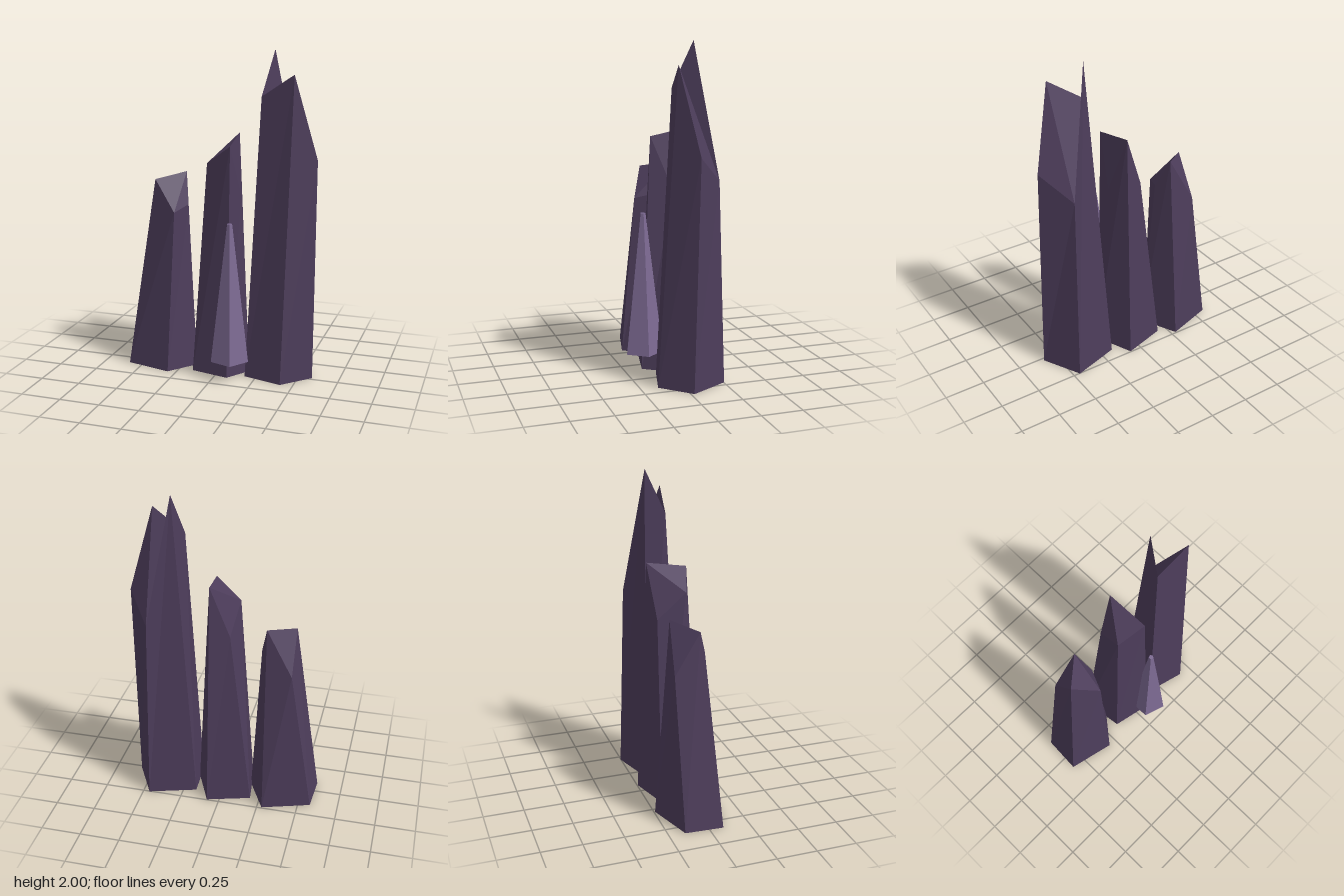
import * as THREE from 'three';

const darkCrystal = new THREE.MeshStandardMaterial({ color: 0x4d3d5b });
darkCrystal.name = 'dark purple crystal';
const paleCrystal = new THREE.MeshStandardMaterial({ color: 0x7d6a93 });
paleCrystal.name = 'pale purple crystal';

// Five-sided shard: base ring [x, z] on the ground, tip ring [x, y, z] with a jagged cap
function shardGeometry(base, tip) {
  const n = base.length;
  const b = base.map(([x, z]) => [x, 0, z]);
  const pos = [];
  const tri = (...corners) => corners.forEach((c) => pos.push(...c));
  for (let i = 0; i < n; i++) {
    const j = (i + 1) % n;
    tri(b[i], tip[i], b[j]);
    tri(tip[i], tip[j], b[j]);
  }
  // Cap fans out from the second corner, floor from the first
  for (let k = 2; k < n; k++) {
    tri(tip[1], tip[(k + 1) % n], tip[k]);
    if (k < n) tri(b[0], b[k - 1], b[k]);
  }
  const geo = new THREE.BufferGeometry();
  geo.setAttribute('position', new THREE.Float32BufferAttribute(pos, 3));
  geo.computeVertexNormals();
  return geo;
}

// Rings run back left, back right, right, front right, front left
const shards = {
  shortShard: {
    base: [[-0.576, -0.149], [-0.281, -0.243], [-0.165, -0.014], [-0.303, 0.155], [-0.589, 0.086]],
    tip: [[-0.432, 0.94, -0.165], [-0.272, 1.23, -0.143], [-0.228, 1.04, -0.05], [-0.278, 1.008, 0.074], [-0.432, 1.194, -0.011]],
  },
  middleShard: {
    base: [[-0.19, -0.168], [0.077, -0.246], [0.184, -0.008], [0.08, 0.139], [-0.159, 0.086]],
    tip: [[-0.052, 1.157, -0.146], [0.064, 1.485, -0.177], [0.115, 1.115, -0.049], [0.083, 1.437, 0.083], [-0.08, 1.32, 0.027]],
  },
  tallShard: {
    base: [[0.168, -0.165], [0.46, -0.253], [0.585, -0.02], [0.422, 0.146], [0.18, 0.08]],
    tip: [[0.303, 2, -0.106], [0.444, 1.205, -0.217], [0.584, 1.358, -0.053], [0.457, 1.865, 0.038], [0.253, 1.73, 0.008]],
  },
};

export function createModel() {
  const group = new THREE.Group();
  group.name = 'crystalCluster';

  for (const [name, { base, tip }] of Object.entries(shards)) {
    const mesh = new THREE.Mesh(shardGeometry(base, tip), darkCrystal);
    mesh.name = name;
    group.add(mesh);
  }

  // Small pale spike floating at the front; un-indexed for flat facets
  const spikeGeo = new THREE.CylinderGeometry(0.016, 0.12, 0.86, 5, 1, false, Math.PI / 2).toNonIndexed();
  spikeGeo.computeVertexNormals();
  const spike = new THREE.Mesh(spikeGeo, paleCrystal);
  spike.name = 'paleSpike';
  spike.position.set(0.098, 0.55, 0.135);
  group.add(spike);

  return group;
}
